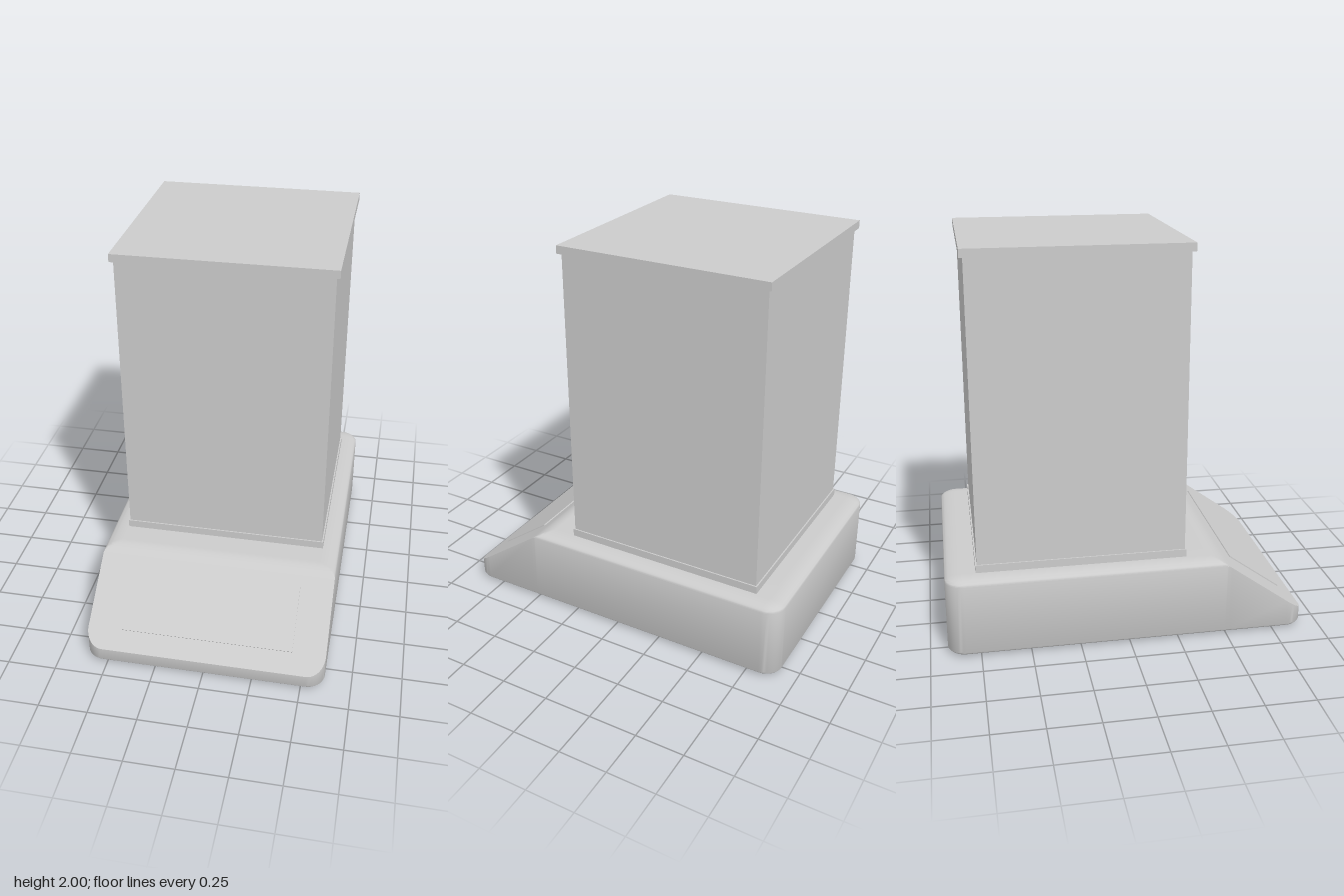
import * as THREE from 'three';
import { toCreasedNormals } from 'three/addons/utils/BufferGeometryUtils.js';

const HALF_W = 0.615, HALF_D = 0.913, CORNER = 0.09, TOP = 0.415;
const SLOPE = 0.72, FRONT_H = 0.09, BLEND = 0.045;
const COLUMN_Z = -0.23;

const slopeY = z => FRONT_H + SLOPE * (HALF_D - z);

// Height limit of the base: flat top rolling softly into the sloped front
function roofY(z) {
  const t = z - (HALF_D - (TOP - FRONT_H) / SLOPE);
  if (t < -BLEND) return TOP;
  if (t > BLEND) return slopeY(z);
  return TOP - SLOPE * (t + BLEND) ** 2 / (4 * BLEND);
}

// Rounded rectangle, inset from the outline, running front to back on +x and returning on -x
function outline(inset) {
  const r = CORNER - inset, cx = HALF_W - CORNER, cz = HALF_D - CORNER, n = 10;
  const right = [];
  for (let i = 0; i <= n; i++) {
    const a = i / n * Math.PI / 2;
    right.push([cx + r * Math.sin(a), cz + r * Math.cos(a)]);
  }
  right.push([cx + r, 0.52]);
  for (let i = 0; i <= 12; i++) right.push([cx + r, 0.51 - i * 0.0085]);
  for (let i = 0; i <= n; i++) {
    const a = Math.PI / 2 * (1 + i / n);
    right.push([cx + r * Math.sin(a), -cz + r * Math.cos(a)]);
  }
  return right.concat(right.map(([x, z]) => [-x, z]).reverse());
}

// Base: stacked outlines with rolled top and bottom edges, trimmed by the slope
function baseGeometry() {
  const levels = [], steps = 10;
  for (let i = 0; i <= steps; i++) {
    const a = i / steps * Math.PI / 2;
    levels.push([0.06 * (1 - Math.sin(a)), 0.03 * (1 - Math.cos(a))]);
  }
  for (let i = 0; i <= steps; i++) {
    const a = i / steps * Math.PI / 2;
    levels.push([0.085 * (1 - Math.cos(a)), TOP - 0.03 * (1 - Math.sin(a))]);
  }
  const pos = [], index = [];
  let n = 0;
  for (const [inset, y] of levels) {
    const ring = outline(inset);
    n = ring.length;
    for (const [x, z] of ring) pos.push(x, Math.min(y, roofY(z)), z);
  }
  const quad = (a, b, c, d) => index.push(a, b, c, a, c, d);
  for (let i = 0; i < levels.length - 1; i++) {
    for (let j = 0; j < n; j++) {
      const k = (j + 1) % n;
      quad(i * n + j, i * n + k, (i + 1) * n + k, (i + 1) * n + j);
    }
  }
  // Close bottom and top with strips from side to side
  const last = (levels.length - 1) * n;
  for (let k = 0; k < n / 2 - 1; k++) {
    const l = n - 1 - k;
    quad(k, l, l - 1, k + 1);
    quad(last + k, last + k + 1, last + l - 1, last + l);
  }
  const geo = new THREE.BufferGeometry();
  geo.setAttribute('position', new THREE.Float32BufferAttribute(pos, 3));
  geo.setIndex(index);
  return toCreasedNormals(geo, 0.5);
}

export function createModel() {
  const group = new THREE.Group();
  const material = new THREE.MeshStandardMaterial({ color: 0xcccccc });
  const add = (name, geometry, x = 0, y = 0, z = 0) => {
    const mesh = new THREE.Mesh(geometry, material);
    mesh.name = name;
    mesh.position.set(x, y, z);
    group.add(mesh);
    return mesh;
  };
  // Square block of the column between two heights
  const block = (name, width, y0, y1) =>
    add(name, new THREE.BoxGeometry(width, y1 - y0, width), 0, (y0 + y1) / 2, COLUMN_Z);

  add('base', baseGeometry());
  block('columnCollar', 1.06, 0.40, 0.455);
  block('column', 1.046, 0.40, 1.96);
  block('columnCap', 1.08, 1.96, 2.0);

  // Thin panel lying almost flush on the slope
  const angle = Math.atan(SLOPE), panelZ = 0.688;
  const panel = add('controlPanel', new THREE.BoxGeometry(0.89, 0.012, 0.27 / Math.cos(angle)),
    0, slopeY(panelZ), panelZ);
  panel.rotation.x = angle;

  return group;
}
